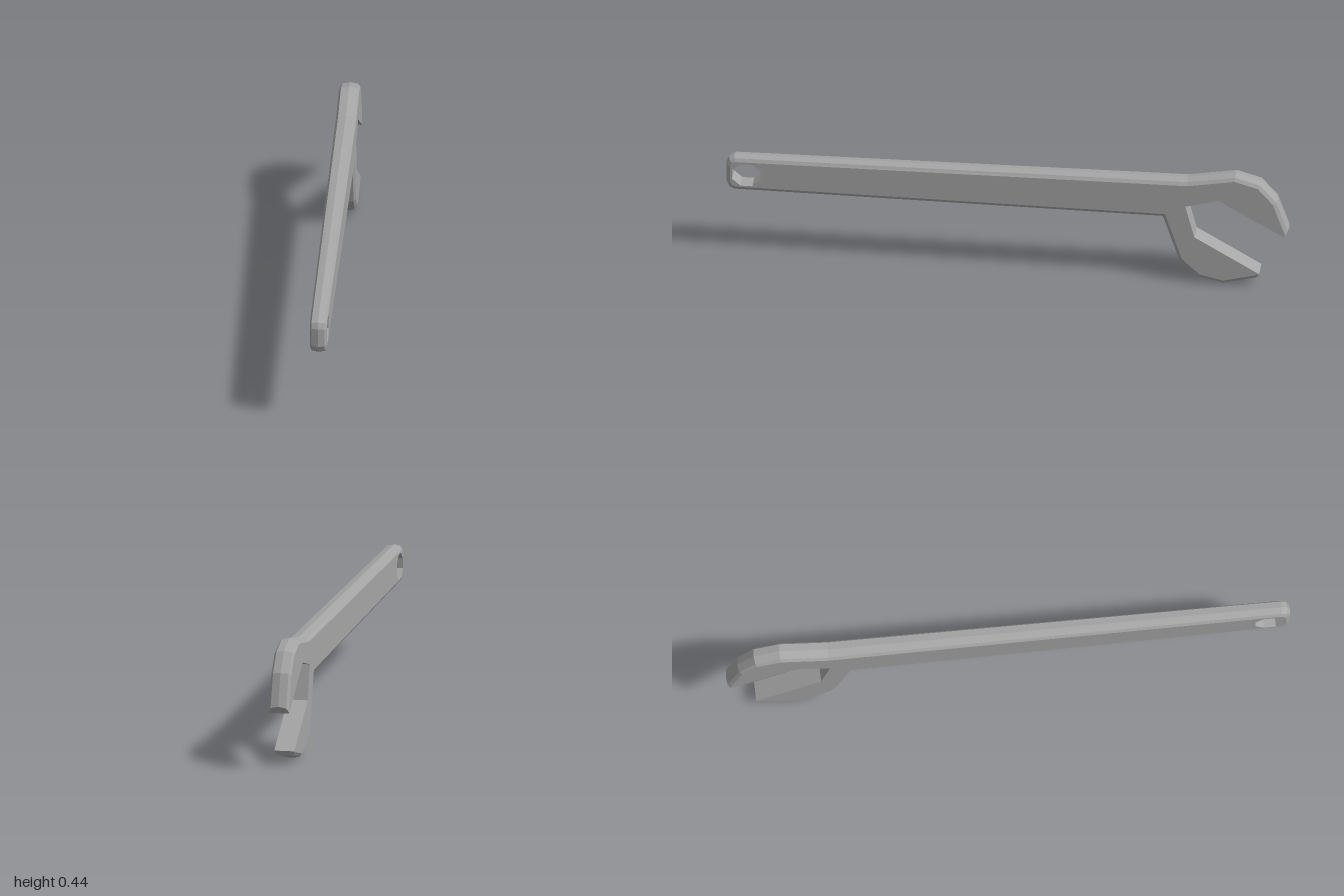
import * as THREE from 'three';

// Side profile as [z, y, chamfered], the flag belonging to the edge that starts here
const PROFILE = [
  [0.97, 0.39, 1], [0.99, 0.38, 1], [1, 0.358, 1], [1, 0.289, 1], [0.99, 0.267, 1], [0.97, 0.256, 1], // handle end
  [-0.55, 0.257, 1], [-0.607, 0.086, 1], [-0.676, 0.021, 1], [-0.767, 0, 1], [-0.885, 0.03, 0], // lower jaw back
  [-0.896, 0.053, 0], [-0.666, 0.187, 0], [-0.634, 0.31, 0], [-0.751, 0.342, 0], [-0.985, 0.209, 0], // mouth
  [-1, 0.235, 1], [-0.96, 0.348, 1], [-0.901, 0.415, 1], [-0.81, 0.441, 1], [-0.639, 0.411, 1], // upper jaw back
];

// Cross-section of the rim as [x, inset]
const LAYERS = [[-0.036, 0.017], [-0.028, 0.005], [0, 0], [0.028, 0.005], [0.036, 0.017]];

// Moves every chamfered edge inwards and intersects neighbouring edges
function insetLoop(d) {
  const n = PROFILE.length;
  const pts = PROFILE.map(([z, y]) => new THREE.Vector2(-z, y));
  const lines = pts.map((p, i) => {
    const t = pts[(i + 1) % n].clone().sub(p).normalize();
    const normal = new THREE.Vector2(-t.y, t.x);
    return { normal, c: normal.dot(p) + d * PROFILE[i][2] };
  });
  return lines.map((b, i) => {
    const a = lines[(i + n - 1) % n];
    const det = a.normal.cross(b.normal);
    return new THREE.Vector2(
      (a.c * b.normal.y - b.c * a.normal.y) / det,
      (a.normal.x * b.c - b.normal.x * a.c) / det);
  });
}

// The handle grows a little thinner towards its end
function place(p, x) {
  const taper = 1 - 0.17 * THREE.MathUtils.clamp((0.6 - p.x) / 1.6, 0, 1);
  return [x * taper, p.y, -p.x];
}

function wrenchGeometry() {
  const out = [];
  const tri = (a, b, c) => out.push(...a, ...b, ...c);
  const wall = (low, high, x0, x1) => low.forEach((p, i) => {
    const j = (i + 1) % low.length;
    const a = place(p, x0), b = place(low[j], x0);
    const c = place(high[j], x1), d = place(high[i], x1);
    tri(a, b, c);
    tri(a, c, d);
  });

  // Rounded rim
  const loops = LAYERS.map(([, d]) => insetLoop(d));
  for (let k = 0; k < LAYERS.length - 1; k++) {
    wall(loops[k], loops[k + 1], LAYERS[k][0], LAYERS[k + 1][0]);
  }

  // Eight-sided hanging hole
  const hole = [];
  for (let i = 0; i < 8; i++) {
    const a = -(i + 0.5) * Math.PI / 4;
    hole.push(new THREE.Vector2(-0.925 + 0.055 * Math.cos(a), 0.322 + 0.047 * Math.sin(a)));
  }
  const half = LAYERS[4][0];
  wall(hole, hole, -half, half);

  // Flat side faces
  const face = loops[4];
  const all = [...face, ...hole];
  for (const [a, b, c] of THREE.ShapeUtils.triangulateShape(face.slice(), [hole.slice()])) {
    tri(place(all[a], half), place(all[b], half), place(all[c], half));
    tri(place(all[a], -half), place(all[c], -half), place(all[b], -half));
  }

  const geometry = new THREE.BufferGeometry();
  geometry.setAttribute('position', new THREE.Float32BufferAttribute(out, 3));
  geometry.computeVertexNormals();
  return geometry;
}

export function createModel() {
  const steel = new THREE.MeshStandardMaterial({ color: 0xa6a6a6 });
  steel.name = 'steel';
  const wrench = new THREE.Mesh(wrenchGeometry(), steel);
  wrench.name = 'wrenchBody';
  const group = new THREE.Group();
  group.name = 'wrench';
  group.add(wrench);
  return group;
}
